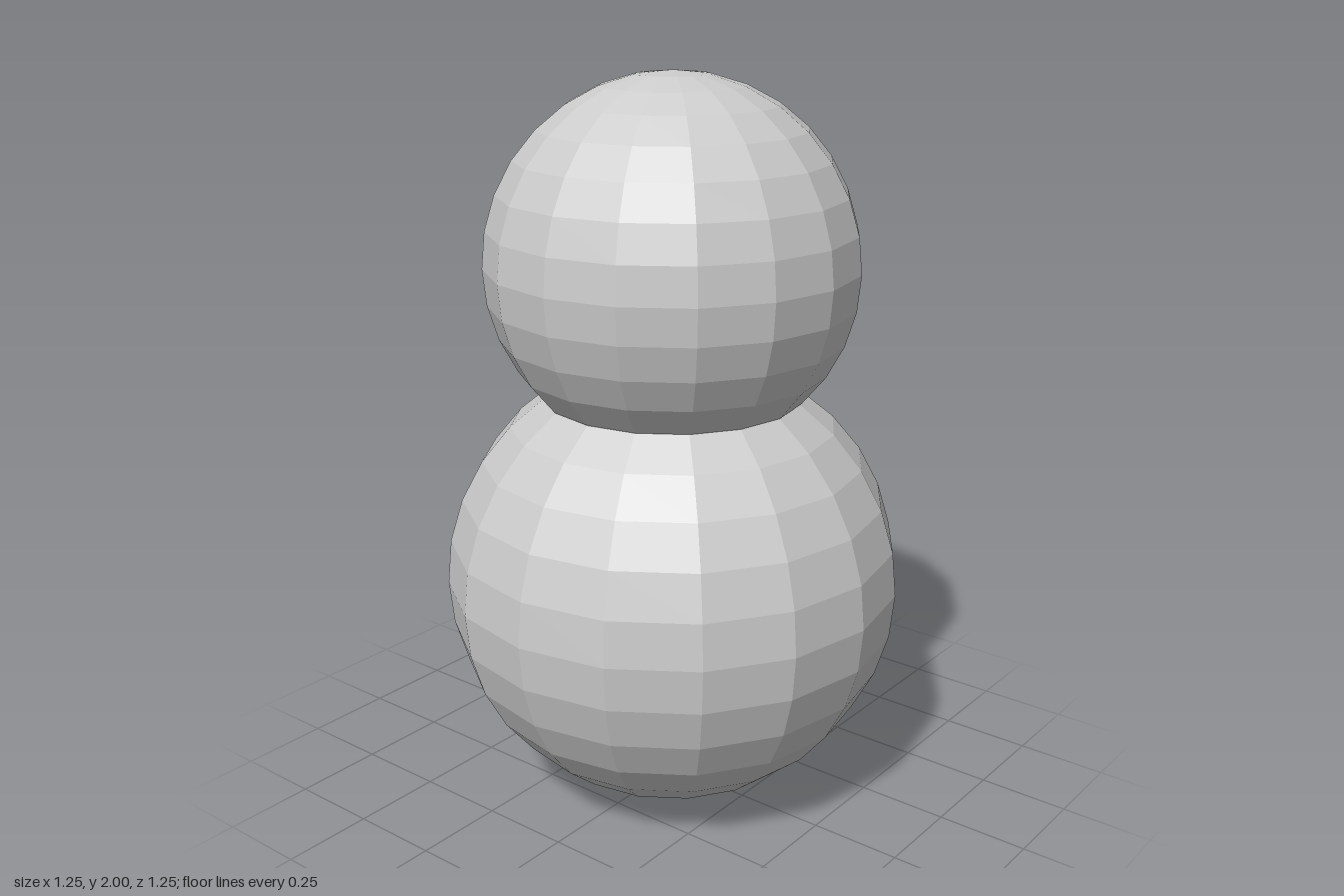
import * as THREE from 'three';

const material = new THREE.MeshStandardMaterial({ color: 0xcccccc, flatShading: true });

// Faceted ball with 16 sides and 16 rings
function ball(name, radius, centreY) {
  const mesh = new THREE.Mesh(new THREE.SphereGeometry(radius, 16, 16), material);
  mesh.name = name;
  mesh.position.y = centreY;
  return mesh;
}

export function createModel() {
  const group = new THREE.Group();
  group.name = 'stackedBalls';
  // Large body standing on the ground, smaller head sunk into its top
  group.add(ball('body', 0.625, 0.625), ball('head', 0.5, 1.5));
  return group;
}
